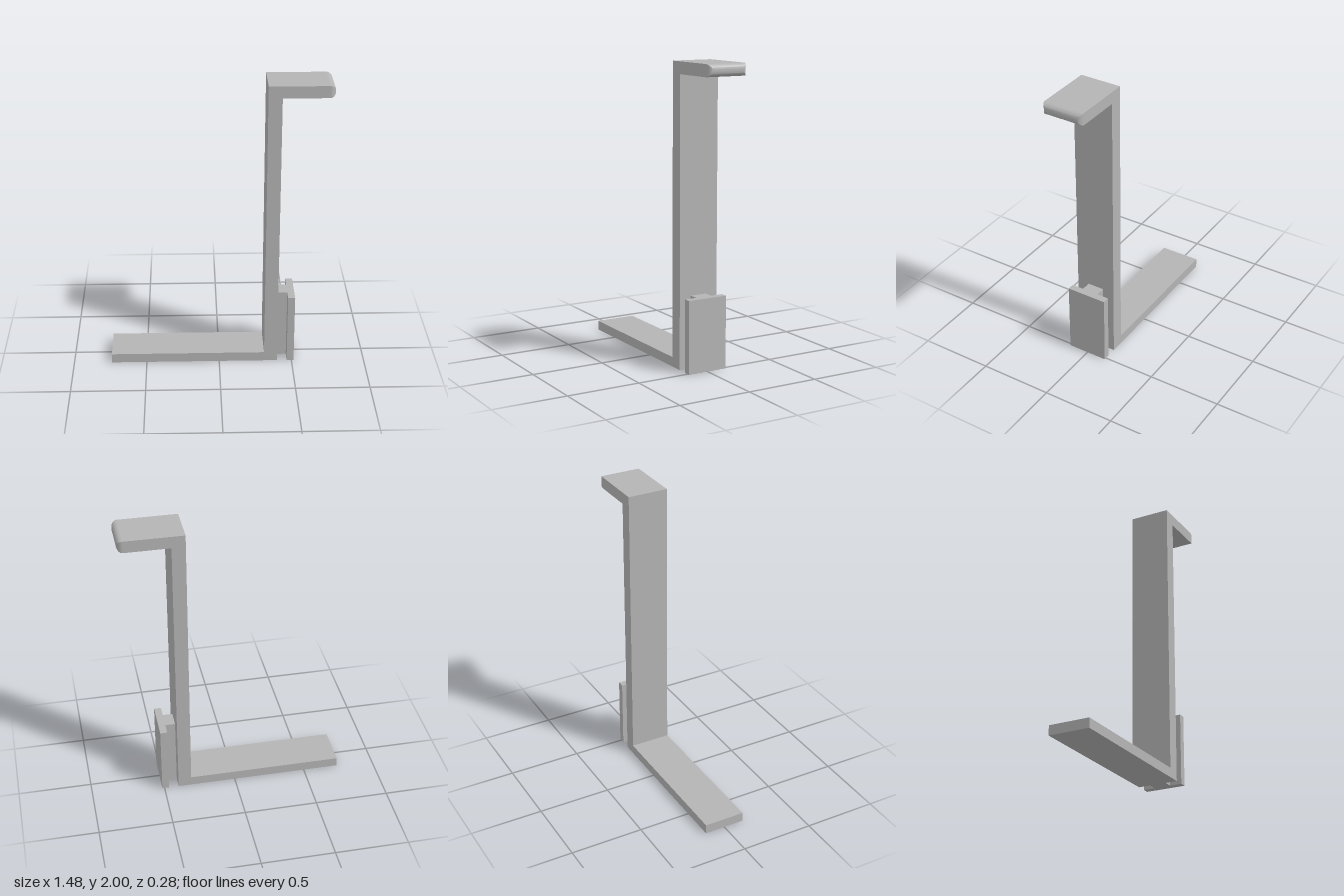
import * as THREE from 'three';
import { toCreasedNormals } from 'three/addons/utils/BufferGeometryUtils.js';

const DEPTH = 0.28;

// Arm tip: rectangles that shrink along a quarter circle, rounding all four end edges
function roundedTip(x0, yMid, halfHeight, halfDepth, radius, steps = 14) {
  const ring = (i) => {
    const a = (i / steps) * Math.PI / 2;
    const inset = radius * (1 - Math.cos(a));
    const h = halfHeight - inset, d = halfDepth - inset, x = x0 + radius * Math.sin(a);
    return [[-h, -d], [h, -d], [h, d], [-h, d]].map(([y, z]) => [x, yMid + y, z]);
  };
  const pos = [];
  const quad = (a, b, c, d) => pos.push(...a, ...b, ...c, ...a, ...c, ...d);
  for (let i = 0; i < steps; i++) {
    const p = ring(i), q = ring(i + 1);
    for (let j = 0; j < 4; j++) {
      const k = (j + 1) % 4;
      quad(p[j], p[k], q[k], q[j]);
    }
  }
  quad(...ring(steps));
  const geo = new THREE.BufferGeometry();
  geo.setAttribute('position', new THREE.Float32BufferAttribute(pos, 3));
  return toCreasedNormals(geo, 0.5);
}

export function createModel() {
  const group = new THREE.Group();
  const grey = new THREE.MeshStandardMaterial({ color: 0xb4b4b4 });
  grey.name = 'grey';

  const add = (name, geometry) => {
    const mesh = new THREE.Mesh(geometry, grey);
    mesh.name = name;
    group.add(mesh);
  };
  const box = (name, x0, x1, y0, y1, depth) => add(name,
    new THREE.BoxGeometry(x1 - x0, y1 - y0, depth).translate((x0 + x1) / 2, (y0 + y1) / 2, 0));

  // Bent bracket: foot, post and top arm in one profile
  const profile = new THREE.Shape([
    [-0.74, 0], [0.4, 0], [0.4, 1.92], [0.7, 1.92],
    [0.7, 2], [0.31, 2], [0.31, 0.065], [-0.74, 0.065],
  ].map(([x, y]) => new THREE.Vector2(x, y)));
  add('bracket', new THREE.ExtrudeGeometry(profile, { depth: DEPTH, bevelEnabled: false })
    .translate(0, 0, -DEPTH / 2));
  add('armTip', roundedTip(0.7, 1.96, 0.04, DEPTH / 2, 0.038));

  // T-shaped rail on the outside of the post
  box('railWeb', 0.4, 0.467, 0, 0.488, 0.115);
  box('railFlange', 0.467, 0.515, 0, 0.488, DEPTH);

  return group;
}
